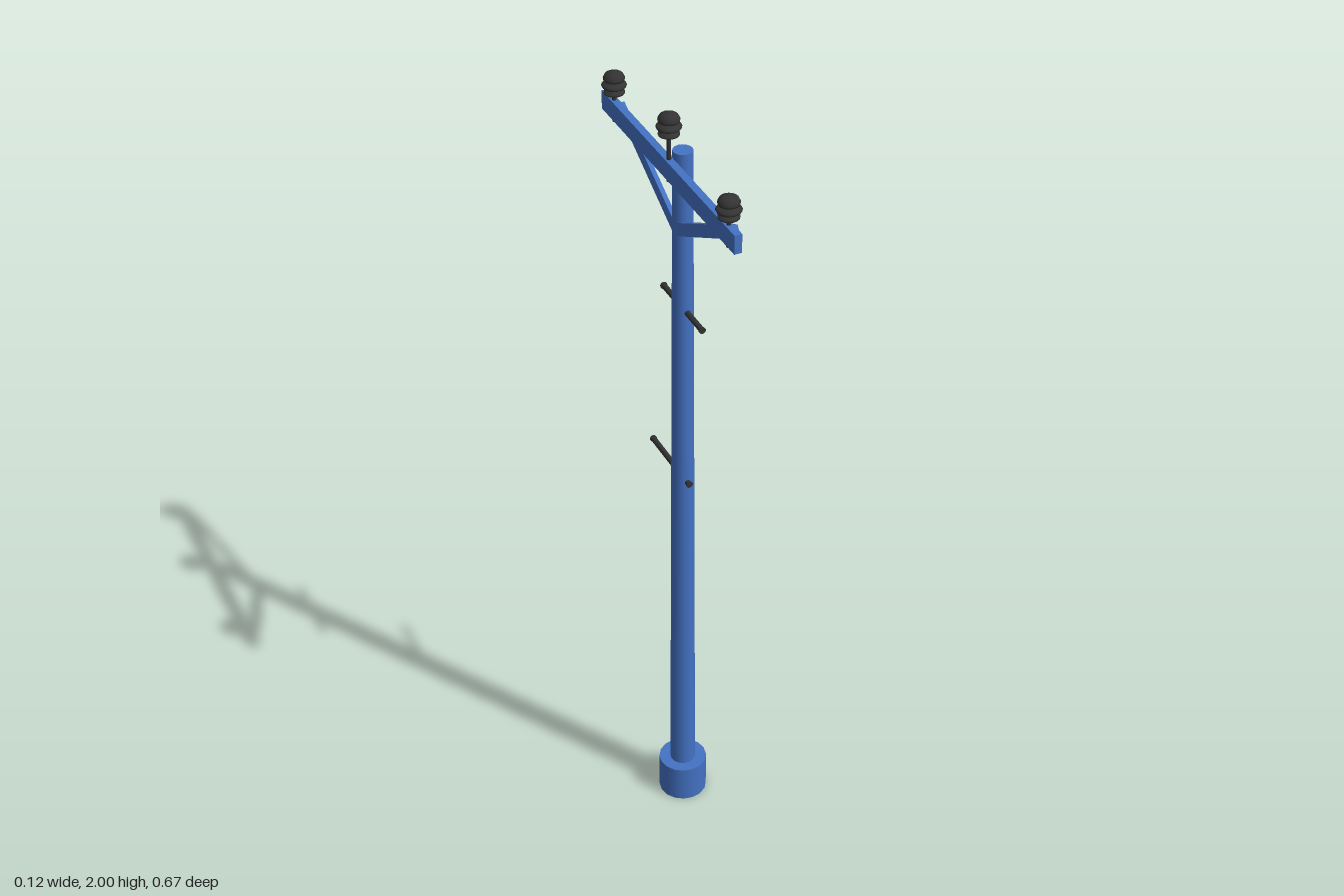
import * as THREE from 'three';

const blue = new THREE.MeshStandardMaterial({ color: 0x4472c4 });
const dark = new THREE.MeshStandardMaterial({ color: 0x333333 });
const ARM_X = -0.033;

function add(parent, name, geometry, material, x = 0, y = 0, z = 0) {
  const mesh = new THREE.Mesh(geometry, material);
  mesh.name = name;
  mesh.position.set(x, y, z);
  parent.add(mesh);
  return mesh;
}

// Pin with a stack of three ribbed sheds under a domed cap; y is the underside of the sheds
function insulator(parent, name, y, z, pinBottom) {
  const group = new THREE.Group();
  group.name = name;
  group.position.set(ARM_X, y, z);
  const profile = [
    [0, 0], [0.018, 0], [0.024, 0.003], [0.024, 0.007], [0.014, 0.012],
    [0.014, 0.015], [0.027, 0.019], [0.029, 0.023], [0.026, 0.027], [0.015, 0.031],
    [0.015, 0.033], [0.024, 0.036], [0.025, 0.041], [0.021, 0.049], [0.012, 0.054], [0, 0.056],
  ].map(([r, h]) => new THREE.Vector2(r, h));
  add(group, 'insulatorSheds', new THREE.LatheGeometry(profile, 16), dark);
  const length = y - pinBottom + 0.005;
  add(group, 'insulatorPin', new THREE.CylinderGeometry(0.005, 0.005, length, 10), dark, 0, 0.005 - length / 2, 0);
  parent.add(group);
}

// Horizontal climbing peg through the pole, with a small head at each end
function peg(parent, name, y, z0, z1) {
  const group = new THREE.Group();
  group.name = name;
  const bar = add(group, 'pegBar', new THREE.CylinderGeometry(0.007, 0.007, z1 - z0, 10), dark, 0, y, (z0 + z1) / 2);
  bar.rotation.x = Math.PI / 2;
  for (const z of [z0 + 0.002, z1 - 0.002]) {
    const head = add(group, 'pegHead', new THREE.CylinderGeometry(0.0085, 0.0085, 0.004, 10), dark, 0, y, z);
    head.rotation.x = Math.PI / 2;
  }
  parent.add(group);
}

export function createModel() {
  const model = new THREE.Group();
  model.name = 'utilityPole';

  // Footing and tapered pole
  add(model, 'footing', new THREE.CylinderGeometry(0.06, 0.06, 0.1, 16), blue, 0, 0.05, 0);
  add(model, 'pole', new THREE.CylinderGeometry(0.023, 0.032, 1.85, 16), blue, 0, 0.975, 0);

  // Crossarm on one side of the pole
  add(model, 'crossarm', new THREE.BoxGeometry(0.018, 0.046, 0.67), blue, ARM_X, 1.862, 0);

  // Diagonal braces, mirrored front to back
  for (const side of [1, -1]) {
    const dy = 0.156, dz = 0.285;
    const brace = add(model, side > 0 ? 'frontBrace' : 'backBrace',
      new THREE.BoxGeometry(0.011, 0.03, Math.hypot(dy, dz)), blue, -0.0145, 1.706 + dy / 2, side * (0.006 + dz / 2));
    brace.rotation.x = -side * Math.atan2(dy, dz);
  }

  // Insulators: two on the arm, a taller one at the pole
  insulator(model, 'frontInsulator', 1.9, 0.29, 1.83);
  insulator(model, 'backInsulator', 1.9, -0.285, 1.83);
  insulator(model, 'centreInsulator', 1.944, 0, 1.83);

  // Climbing pegs
  peg(model, 'upperPeg', 1.49, -0.102, 0.102);
  peg(model, 'lowerPeg', 1.01, -0.166, 0.038);

  return model;
}
